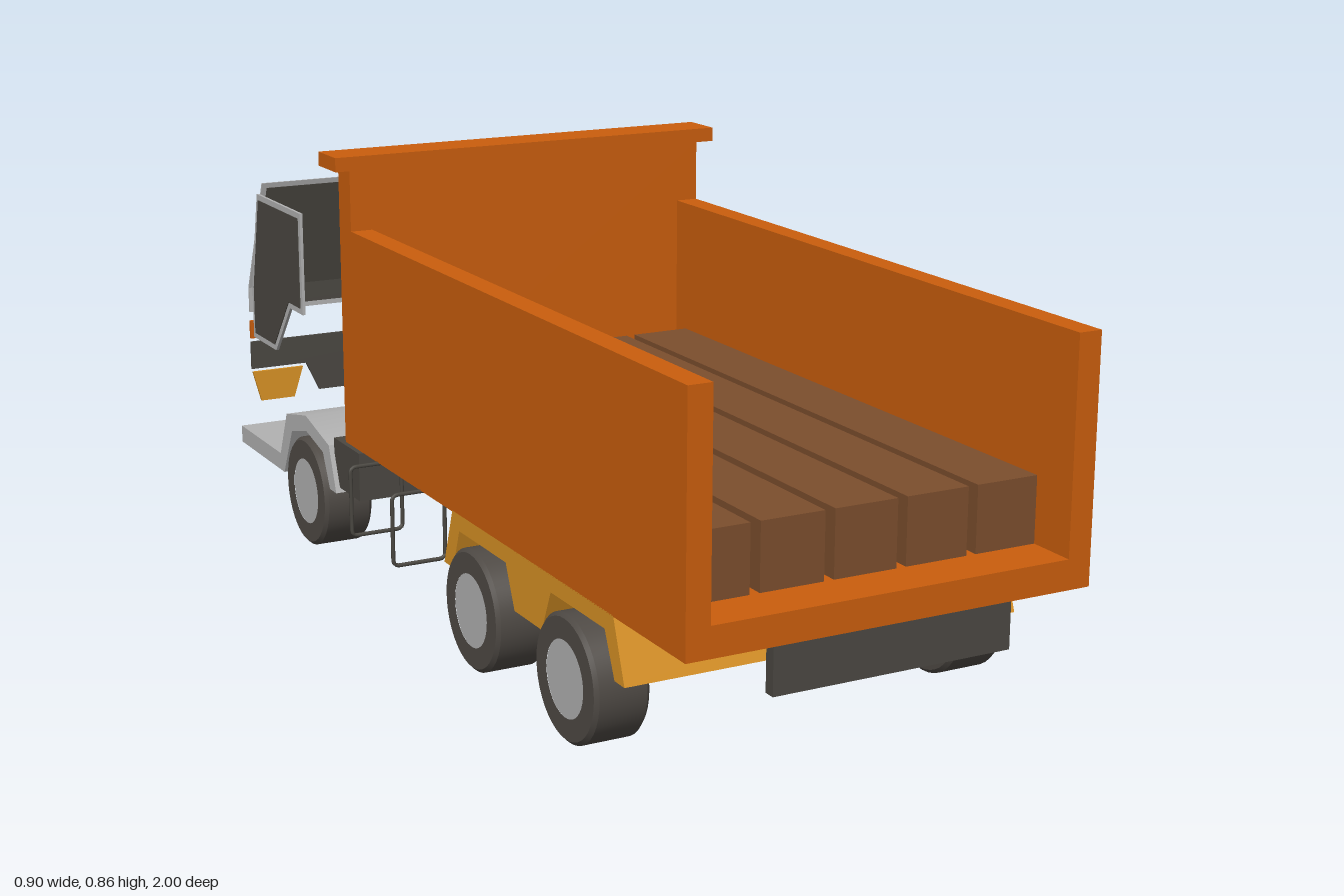
import * as THREE from 'three';
import { toCreasedNormals } from 'three/addons/utils/BufferGeometryUtils.js';

const mat = (name, color) => {
  const m = new THREE.MeshStandardMaterial({ color });
  m.name = name;
  return m;
};

export function createModel() {
  const root = new THREE.Group();
  const orange = mat('body orange', 0xca5e0d);
  const yellow = mat('chassis yellow', 0xda9325);
  const wood = mat('timber brown', 0x7c4e2d);
  const dark = mat('dark trim', 0x4b4842);
  const grey = mat('cab grey', 0xb2b2b2);
  const tyreMat = mat('tyre rubber', 0x4f4a45);

  const add = (name, geo, material, parent = root) => {
    const m = new THREE.Mesh(geo, material);
    m.name = name;
    parent.add(m);
    return m;
  };
  // Box given by its limits on each axis
  const box = (name, x0, x1, y0, y1, z0, z1, material) => {
    const g = new THREE.BoxGeometry(x1 - x0, y1 - y0, z1 - z0);
    g.translate((x0 + x1) / 2, (y0 + y1) / 2, (z0 + z1) / 2);
    return add(name, g, material);
  };
  const shapeOf = pts => new THREE.Shape(pts.map(p => new THREE.Vector2(p[0], p[1])));
  // Side profile in (z, y), extruded across x and centred on cx
  const across = (pts, width, cx = 0) => {
    const g = new THREE.ExtrudeGeometry(shapeOf(pts), { depth: width, bevelEnabled: false });
    g.rotateY(-Math.PI / 2);
    g.translate(cx + width / 2, 0, 0);
    return g;
  };
  // Front profile in (x, y), extruded along z and centred on cz
  const upright = (pts, depth, cz) => {
    const g = new THREE.ExtrudeGeometry(shapeOf(pts), { depth, bevelEnabled: false });
    g.translate(0, 0, cz - depth / 2);
    return g;
  };

  // Dump bed
  box('bedFloor', -0.39, 0.39, 0.265, 0.32, -0.35, 1, orange);
  box('bedHeadboard', -0.39, 0.39, 0.265, 0.832, -0.41, -0.35, orange);
  box('headboardCap', -0.423, 0.423, 0.832, 0.86, -0.43, -0.34, orange);
  for (const s of [-1, 1])
    box('bedSideWall', s > 0 ? 0.345 : -0.39, s > 0 ? 0.39 : -0.345, 0.32, 0.71, -0.35, 1, orange);

  // Timber load
  for (let i = 0; i < 5; i++) {
    const x = -0.28 + i * 0.141;
    box('timberBeam', x - 0.061, x + 0.061, 0.32, 0.442, -0.31, 0.905, wood);
  }

  // Rear chassis with two wheel arches
  add('rearChassis', across([
    [0.80, 0.155], [0.76, 0.267], [0.12, 0.267], [0.08, 0.155], [0.12, 0.155], [0.15, 0.235],
    [0.35, 0.235], [0.385, 0.155], [0.495, 0.155], [0.53, 0.235], [0.73, 0.235], [0.765, 0.155],
  ], 0.78), yellow);
  box('rearUnderrunGuard', -0.23, 0.23, 0.18, 0.265, 0.977, 0.999, dark);
  box('equipmentBox', -0.4, 0.4, 0.165, 0.265, -0.45, -0.315, dark);

  // Front arch and cab floor
  add('cabFloor', toCreasedNormals(across([
    [-0.42, 0.155], [-0.455, 0.248], [-0.585, 0.28], [-0.7, 0.256], [-0.745, 0.157], [-0.995, 0.157],
    [-0.995, 0.12], [-0.725, 0.12], [-0.67, 0.225], [-0.585, 0.247], [-0.49, 0.225], [-0.455, 0.155],
  ], 0.82), 0.5), grey);
  box('frontBumper', -0.305, 0.305, 0.093, 0.135, -1, -0.99, dark);

  // Wheels
  const tyreProfile = [[0.069, -0.052], [0.108, -0.052], [0.115, -0.045],
    [0.115, 0.045], [0.108, 0.052], [0.069, 0.052]].map(p => new THREE.Vector2(p[0], p[1]));
  const tyreGeo = toCreasedNormals(new THREE.LatheGeometry(tyreProfile, 40), 0.6);
  tyreGeo.rotateZ(Math.PI / 2);
  const hubGeo = new THREE.CylinderGeometry(0.07, 0.07, 0.102, 40);
  hubGeo.rotateZ(Math.PI / 2);
  for (const z of [0.63, 0.25, -0.585]) for (const s of [-1, 1]) {
    const wheel = new THREE.Group();
    wheel.name = 'wheel';
    add('tyre', tyreGeo, tyreMat, wheel);
    add('hub', hubGeo, grey, wheel);
    wheel.position.set(s * 0.362, 0.116, z);
    root.add(wheel);
  }

  // Wire side frames
  for (const z of [-0.03, -0.24]) for (const s of [-1, 1]) {
    const x0 = 0.34, x1 = 0.448, y0 = 0.122, y1 = 0.263, r = 0.01;
    const pts = [];
    [[x1 - r, y1 - r], [x0 + r, y1 - r], [x0 + r, y0 + r], [x1 - r, y0 + r]].forEach(([cx, cy], i) => {
      for (let k = 0; k <= 3; k++) {
        const a = (i + k / 3) * Math.PI / 2;
        pts.push(new THREE.Vector3(s * (cx + r * Math.cos(a)), cy + r * Math.sin(a), z));
      }
    });
    const path = new THREE.CurvePath();
    pts.forEach((p, i) => path.add(new THREE.LineCurve3(p, pts[(i + 1) % pts.length])));
    add('sideFrame', new THREE.TubeGeometry(path, 80, 0.004, 6, true), dark);
  }

  // Side windows
  const frame = [[-0.625, 0.7], [-0.885, 0.7], [-0.935, 0.49], [-0.935, 0.373],
    [-0.795, 0.373], [-0.7, 0.485], [-0.625, 0.485]];
  const glass = [[-0.637, 0.688], [-0.875, 0.688], [-0.922, 0.488], [-0.922, 0.385],
    [-0.8, 0.385], [-0.706, 0.497], [-0.637, 0.497]];
  for (const s of [-1, 1]) {
    add('sideWindowFrame', across(frame, 0.006, s * 0.391), grey);
    add('sideWindowGlass', across(glass, 0.009, s * 0.391), dark);
  }

  // Bent windscreen, narrowing towards the top
  const screen = (name, halfWidth, yTop, yBottom, t, material) => {
    const zAt = y => -0.977 + Math.max(0, y - 0.475) * 0.24;
    const ys = [yTop, 0.475, yBottom];
    const pts = [...ys.map(y => [zAt(y) - t / 2, y]),
      ...ys.slice().reverse().map(y => [zAt(y) + t / 2, y])];
    const g = across(pts, halfWidth * 2);
    const p = g.attributes.position;
    for (let i = 0; i < p.count; i++)
      p.setX(i, p.getX(i) * (1 - Math.max(0, p.getY(i) - 0.475) * 0.2));
    g.computeVertexNormals();
    add(name, g, material);
  };
  screen('windscreenFrame', 0.388, 0.716, 0.42, 0.005, grey);
  screen('windscreenGlass', 0.376, 0.705, 0.431, 0.009, dark);

  // Front grille, headlights and indicators
  add('grille', upright([[-0.388, 0.352], [0.388, 0.352], [0.388, 0.29], [0.26, 0.29],
    [0.23, 0.225], [-0.23, 0.225], [-0.26, 0.29], [-0.388, 0.29]], 0.006, -0.977), dark);
  for (const s of [-1, 1]) {
    add('headlight', upright([[s * 0.268, 0.283], [s * 0.386, 0.283], [s * 0.368, 0.215],
      [s * 0.29, 0.215]], 0.006, -0.977), yellow);
    add('indicator', upright([[s * 0.335, 0.4], [s * 0.388, 0.4], [s * 0.388, 0.36],
      [s * 0.335, 0.36]], 0.008, -0.977), orange);
  }
  return root;
}
